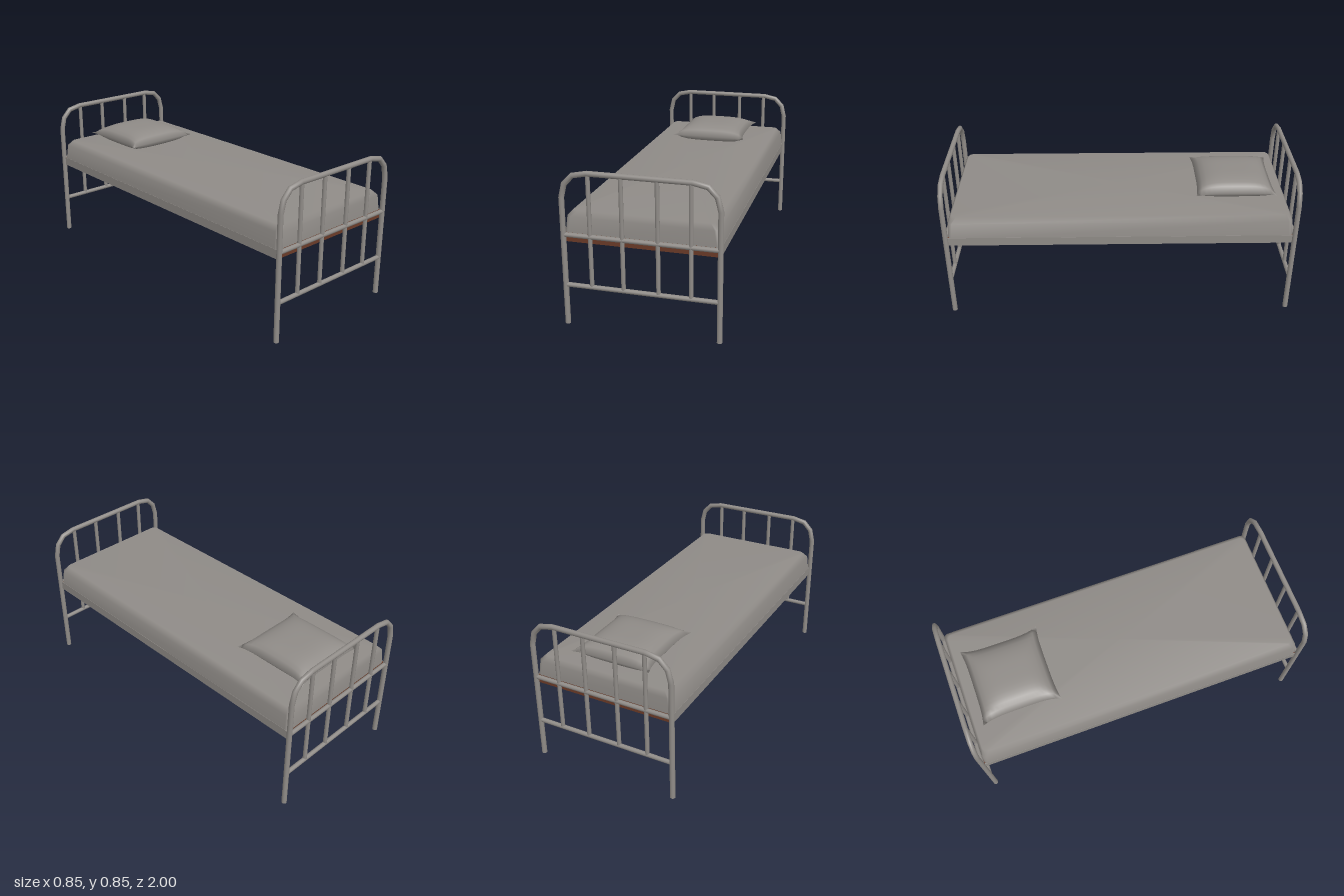
import * as THREE from 'three';
import { mergeGeometries, mergeVertices } from 'three/addons/utils/BufferGeometryUtils.js';

const steel = new THREE.MeshStandardMaterial({ color: 0x8f8b87 });
steel.name = 'grey';
const cloth = new THREE.MeshStandardMaterial({ color: 0x8f8b87, side: THREE.DoubleSide });
cloth.name = 'grey cloth';
const rust = new THREE.MeshStandardMaterial({ color: 0x6b3b28 });
rust.name = 'rust brown';

function add(parent, name, geometry, material, x = 0, y = 0, z = 0) {
  const mesh = new THREE.Mesh(geometry, material);
  mesh.name = name;
  mesh.position.set(x, y, z);
  parent.add(mesh);
  return mesh;
}

// Skins equal closed loops of Vector3; the last loop can be closed by a centre point
function skin(loops, centre) {
  const n = loops[0].length;
  const points = loops.flat();
  const index = [];
  for (let i = 0; i < loops.length - 1; i++) {
    for (let j = 0; j < n; j++) {
      const a = i * n + j, b = i * n + (j + 1) % n;
      index.push(a, b, b + n, a, b + n, a + n);
    }
  }
  if (centre) {
    const base = (loops.length - 1) * n;
    for (let j = 0; j < n; j++) index.push(base + j, base + (j + 1) % n, points.length);
    points.push(centre);
  }
  const g = new THREE.BufferGeometry().setFromPoints(points);
  g.setIndex(index);
  g.computeVertexNormals();
  return g;
}

// Round tube along an angular path in the xy plane, with mitred bends
function bentTube(path, r, sides = 14) {
  const loops = path.map((p, i) => {
    const before = p.clone().sub(path[Math.max(i - 1, 0)]).normalize();
    const after = path[Math.min(i + 1, path.length - 1)].clone().sub(p).normalize();
    const dir = before.clone().add(after).normalize();
    const ref = before.lengthSq() > 0 ? before : after;
    const stretch = 1 / dir.dot(ref);
    return Array.from({ length: sides }, (_, k) => {
      const a = k / sides * Math.PI * 2;
      const s = Math.cos(a) * r * stretch;
      return new THREE.Vector3(p.x - dir.y * s, p.y + dir.x * s, Math.sin(a) * r);
    });
  });
  return skin(loops);
}

// One tubular bed end: bent hoop, two cross rails and four uprights
function bedEnd(name, z) {
  const end = new THREE.Group();
  end.name = name;
  end.position.z = z;
  const half = [[0.41, 0], [0.41, 0.703], [0.392, 0.775], [0.347, 0.822], [0.27, 0.838]];
  const path = [
    ...half.map(([x, y]) => new THREE.Vector2(-x, y)),
    ...half.slice().reverse().map(([x, y]) => new THREE.Vector2(x, y)),
  ];
  add(end, 'hoop', bentTube(path, 0.0145), steel);
  for (const x of [-0.41, 0.41]) {
    add(end, 'foot', new THREE.CircleGeometry(0.0145, 14), steel, x, 0, 0).rotation.x = Math.PI / 2;
  }
  for (const y of [0.224, 0.503]) {
    add(end, 'crossRail', new THREE.CylinderGeometry(0.0125, 0.0125, 0.806, 12), steel, 0, y, 0)
      .rotation.z = Math.PI / 2;
  }
  for (const x of [-0.265, -0.094, 0.092, 0.262]) {
    add(end, 'upright', new THREE.CylinderGeometry(0.0115, 0.0115, 0.605, 12), steel, x, 0.533, 0);
  }
  return end;
}

// Rounded rectangle loop in the xz plane, anticlockwise from above
function roundedLoop(hx, hz, r, y) {
  const loop = [];
  const corners = [[1, 1], [1, -1], [-1, -1], [-1, 1]];
  corners.forEach(([sx, sz], c) => {
    for (let k = 0; k <= 4; k++) {
      const a = Math.PI / 2 - (c + k / 4) * Math.PI / 2;
      loop.push(new THREE.Vector3(
        sx * (hx - r) + Math.cos(a) * r, y, sz * (hz - r) + Math.sin(a) * r));
    }
  });
  return loop;
}

// Open-bottomed mattress shell with softly bevelled upper edges
function mattressGeometry() {
  // half width, half length, corner radius, height
  const rows = [
    [0.41, 0.972, 0.02, 0.50], [0.398, 0.968, 0.025, 0.597], [0.37, 0.95, 0.03, 0.626],
  ];
  const loops = rows.map(([hx, hz, r, y]) => roundedLoop(hx, hz, r, y));
  return skin(loops, new THREE.Vector3(0, 0.626, 0));
}

// Half of the pillow: a grid with drawn-in edges, puffed up or down
function pillowHalf(sign) {
  const g = new THREE.PlaneGeometry(2, 2, 16, 16);
  g.rotateX(-sign * Math.PI / 2);
  const p = g.attributes.position;
  for (let i = 0; i < p.count; i++) {
    const u = p.getX(i), v = p.getZ(i);
    const swell = Math.max(0, (1 - Math.abs(u) ** 3.6) * (1 - Math.abs(v) ** 3.6));
    const puff = 0.062 * swell ** 0.65;
    p.setXYZ(i,
      u * (0.21 + 0.024 * v ** 4),
      sign > 0 ? puff : -Math.min(puff, 0.038),
      v * (0.218 + 0.014 * u ** 4));
  }
  g.deleteAttribute('normal');
  g.deleteAttribute('uv');
  return g;
}

// Both halves welded along the seam so the shading runs round the edge
function pillowGeometry() {
  const g = mergeVertices(mergeGeometries([pillowHalf(1), pillowHalf(-1)]), 1e-4);
  g.computeVertexNormals();
  return g;
}

export function createModel() {
  const bed = new THREE.Group();
  bed.name = 'bed';
  bed.add(bedEnd('footEnd', 0.985), bedEnd('headEnd', -0.985));

  add(bed, 'mattress', mattressGeometry(), cloth);

  // Shallow frame under the mattress: brown inside and at the ends, grey along the sides
  for (const s of [-1, 1]) {
    add(bed, 'sideRail', new THREE.BoxGeometry(0.004, 0.048, 1.944), rust, s * 0.402, 0.487, 0);
    add(bed, 'sideRailCover', new THREE.BoxGeometry(0.006, 0.05, 1.944), steel, s * 0.407, 0.486, 0);
    add(bed, 'endRail', new THREE.BoxGeometry(0.8, 0.05, 0.008), rust, 0, 0.486, s * 0.968);
  }

  add(bed, 'pillow', pillowGeometry(), cloth, -0.003, 0.665, -0.67);
  return bed;
}
